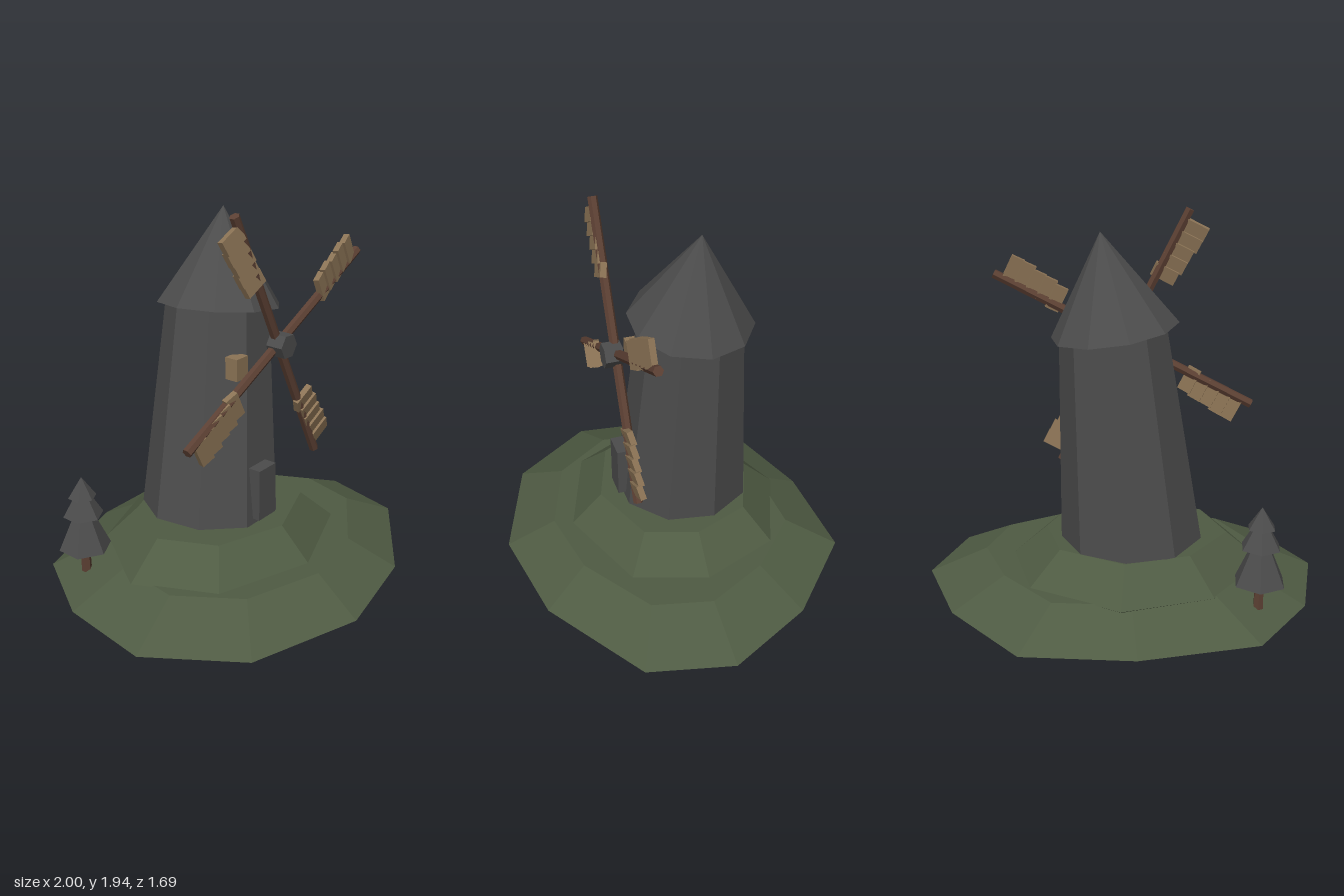
import * as THREE from 'three';

const paint = (name, color) => {
  const m = new THREE.MeshStandardMaterial({ color, flatShading: true });
  m.name = name;
  return m;
};

// Faceted mound: one outline [x, z] scaled about a centre for each ring [y, scale]
function moundGeometry(outline, cx, cz, rings) {
  const n = outline.length, pos = [];
  const point = (r, i) => {
    const [x, z] = outline[i % n], [y, s] = rings[r];
    return [cx + (x - cx) * s, y, cz + (z - cz) * s];
  };
  const last = rings.length - 1;
  for (let i = 0; i < n; i++) {
    for (let r = 0; r < last; r++) {
      const a = point(r, i), b = point(r, i + 1), c = point(r + 1, i + 1), d = point(r + 1, i);
      pos.push(...a, ...d, ...c, ...a, ...c, ...b);
    }
    pos.push(cx, rings[last][0], cz, ...point(last, i + 1), ...point(last, i));
    pos.push(cx, rings[0][0], cz, ...point(0, i), ...point(0, i + 1));
  }
  const g = new THREE.BufferGeometry();
  g.setAttribute('position', new THREE.Float32BufferAttribute(pos, 3));
  g.computeVertexNormals();
  return g;
}

export function createModel() {
  const grass = paint('grass green', 0x4f5b43);
  const stone = paint('dark stone', 0x4c4c4c);
  const wood = paint('dark wood', 0x5c4033);
  const cloth = paint('tan slats', 0x8b7355);

  const model = new THREE.Group();
  model.name = 'windmill';
  const add = (parent, name, geometry, material, x = 0, y = 0, z = 0) => {
    const mesh = new THREE.Mesh(geometry, material);
    mesh.name = name;
    mesh.position.set(x, y, z);
    parent.add(mesh);
    return mesh;
  };

  // Ground: wide irregular base with a smaller mound on top
  add(model, 'hillBase', moundGeometry([
    [-0.15, -0.84], [0.39, -0.85], [0.78, -0.48], [1, -0.04], [0.9, 0.39], [0.38, 0.74],
    [-0.15, 0.84], [-0.71, 0.65], [-1, 0.22], [-0.94, -0.26], [-0.71, -0.66],
  ], 0, 0, [[0, 0.83], [0.06, 1], [0.2, 0.7]]), grass);
  add(model, 'hillTop', moundGeometry([
    [-0.06, -0.65], [0.4, -0.46], [0.55, -0.06], [0.43, 0.31],
    [-0.06, 0.5], [-0.55, 0.33], [-0.74, -0.06], [-0.49, -0.48],
  ], -0.07, -0.07, [[0.14, 0.85], [0.195, 1], [0.355, 0.71]]), grass);

  // Leaning tower and crooked roof
  const tower = add(model, 'tower',
    new THREE.CylinderGeometry(0.26, 0.355, 1.08, 9).rotateY(Math.PI), stone, -0.025, 0.88, -0.127);
  tower.rotation.set(-0.014, 0, -0.083);
  const roof = add(model, 'roof',
    new THREE.ConeGeometry(0.31, 0.47, 10).rotateY(Math.PI / 10), stone, 0.047, 1.638, -0.14);
  roof.rotation.set(-0.05, 0, -0.14);

  // Door and window
  add(model, 'door', new THREE.BoxGeometry(0.13, 0.27, 0.14), stone, -0.075, 0.52, 0.18);
  add(model, 'window', new THREE.BoxGeometry(0.085, 0.11, 0.07), cloth, -0.15, 1.17, 0.115);

  // Sail wheel
  const wheel = new THREE.Group();
  wheel.name = 'sailWheel';
  wheel.position.set(0.004, 1.273, 0.243);
  wheel.rotation.z = 0.461;
  model.add(wheel);
  add(wheel, 'hub', new THREE.CylinderGeometry(0.062, 0.062, 0.09, 6).rotateX(Math.PI / 2), stone, 0, 0, 0.02);

  const armGeometry = new THREE.CylinderGeometry(0.024, 0.024, 0.74, 6).rotateZ(-Math.PI / 2);
  const slatGeometry = new THREE.BoxGeometry(0.072, 0.13, 0.03);
  for (let k = 0; k < 4; k++) {
    const arm = new THREE.Group();
    arm.name = 'sailArm' + (k + 1);
    arm.rotation.z = k * Math.PI / 2;
    wheel.add(arm);
    add(arm, 'beam', armGeometry, wood, 0.37, 0, 0);
    // Overlapping slats, each stepped a little further to one side
    for (let i = 0; i < 5; i++) {
      const slat = add(arm, 'slat', slatGeometry, cloth, 0.4 + i * 0.065, 0.034 + i * 0.008 + (i % 2) * 0.006, 0.006);
      slat.rotation.y = 0.2;
    }
  }

  // Small fir tree
  const tree = new THREE.Group();
  tree.name = 'tree';
  tree.position.set(-0.7, 0, -0.41);
  model.add(tree);
  add(tree, 'trunk', new THREE.CylinderGeometry(0.022, 0.026, 0.19, 6), wood, 0, 0.215, 0);
  for (const [y, r, h] of [[0.257, 0.13, 0.29], [0.437, 0.1, 0.17], [0.535, 0.07, 0.105]]) {
    add(tree, 'foliage', new THREE.ConeGeometry(r, h, 6), stone, 0, y + h / 2, 0);
  }
  return model;
}
